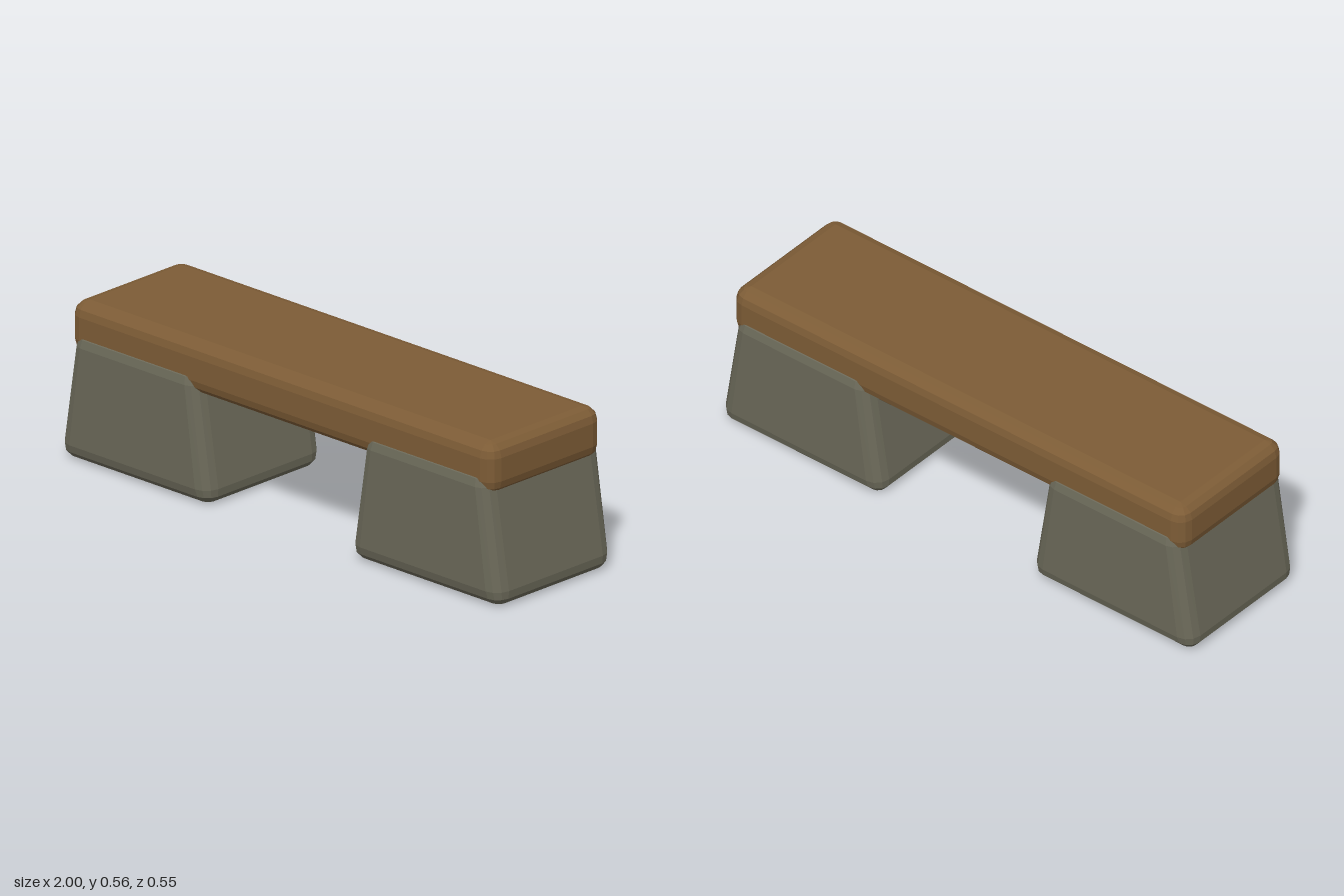
import * as THREE from 'three';
import { ConvexGeometry } from 'three/addons/geometries/ConvexGeometry.js';

// Faceted rounded block standing on y = 0; its x width shrinks with height by taper.
function roundedBlock(width, height, depth, radius, taper = 0, steps = 3) {
  const points = [];
  for (const sx of [-1, 1]) for (const sy of [-1, 1]) for (const sz of [-1, 1]) {
    for (let i = 0; i <= steps; i++) {
      const lat = (i / steps) * Math.PI / 2;
      const turns = i === steps ? 0 : steps; // the pole is a single point
      for (let j = 0; j <= turns; j++) {
        const lon = (j / steps) * Math.PI / 2;
        const y = height / 2 + sy * (height / 2 - radius + radius * Math.sin(lat));
        const x = sx * (width / 2 - radius + radius * Math.cos(lat) * Math.cos(lon));
        const z = sz * (depth / 2 - radius + radius * Math.cos(lat) * Math.sin(lon));
        points.push(new THREE.Vector3(x * (1 - taper * y), y, z));
      }
    }
  }
  return new ConvexGeometry(points);
}

export function createModel() {
  const group = new THREE.Group();
  const wood = new THREE.MeshStandardMaterial({ color: 0x7d5c36, flatShading: true });
  const stone = new THREE.MeshStandardMaterial({ color: 0x6b6959, flatShading: true });

  // Wooden slab
  const seat = new THREE.Mesh(roundedBlock(1.92, 0.182, 0.532, 0.05), wood);
  seat.name = 'seat';
  seat.position.y = 0.378;
  group.add(seat);

  // Tapered stone supports, sunk into the slab
  const legGeometry = roundedBlock(0.696, 0.463, 0.552, 0.055, 0.468);
  for (const [name, side] of [['leftLeg', 1], ['rightLeg', -1]]) {
    const leg = new THREE.Mesh(legGeometry, stone);
    leg.name = name;
    leg.position.x = side * 0.66;
    group.add(leg);
  }
  return group;
}
